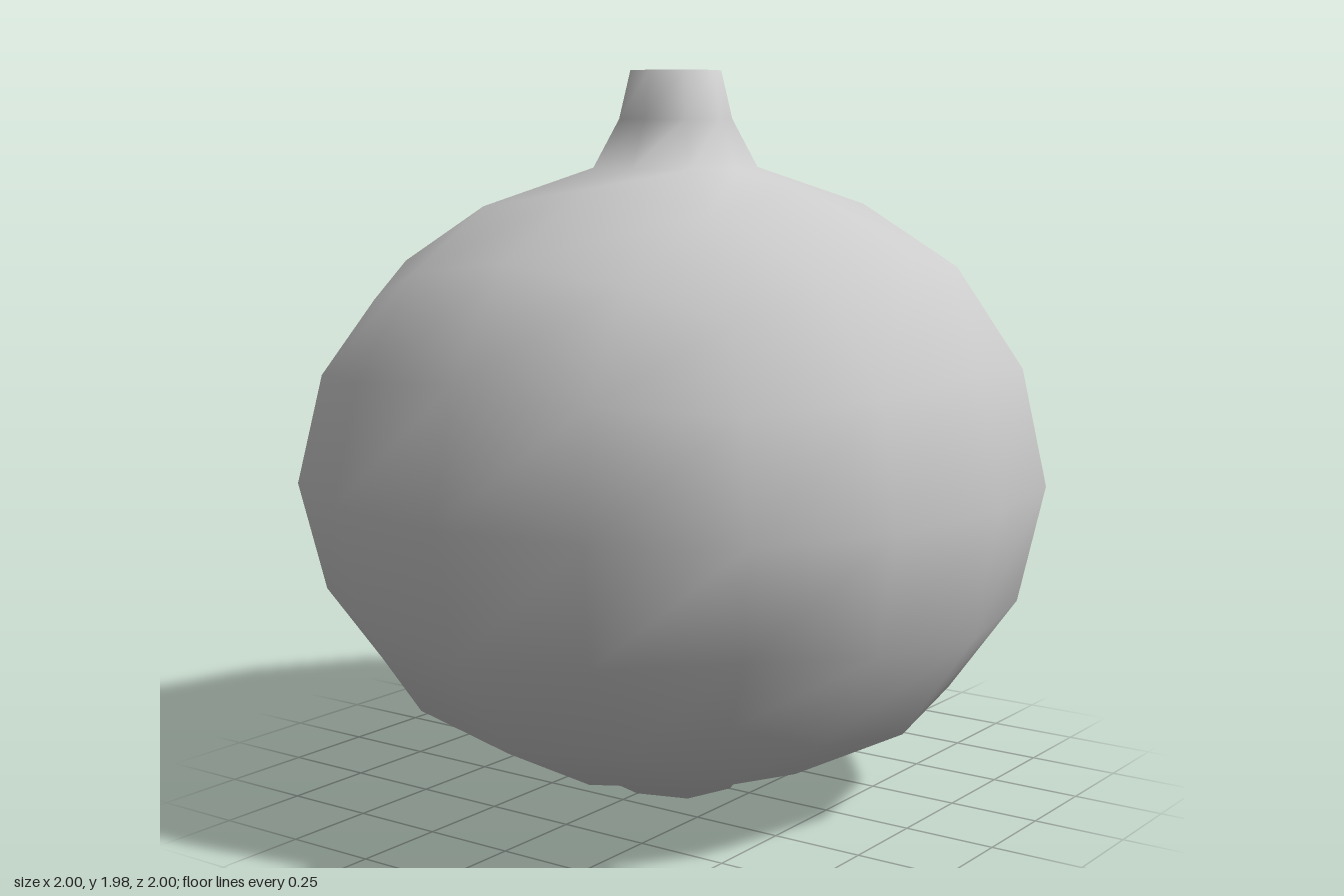
import * as THREE from 'three';
import { mergeVertices } from 'three/addons/utils/BufferGeometryUtils.js';

const CENTRE_Y = 0.877, SQUASH = 0.852;

// Rounded-cube grid: [along normal, along u, along v] for grid steps |i| >= |j|
const GRID = {
  '00': [1, 0, 0], '10': [0.933, 0.4, 0], '20': [0.732, 0.732, 0],
  '11': [0.87, 0.371, 0.371], '21': [0.682, 0.682, 0.344], '22': [0.58, 0.58, 0.58],
};

// Ring profiles: [radius on the axes, corner offset, height]
const NECK = [[0.2, 0.16, 1.72], [0.145, 0.11, 1.85], [0.12, 0.088, 1.98]];
const FOOT = [[0.215, 0.165, 0.05], [0.185, 0.14, 0]];

const AROUND = [[1, 0], [1, 1], [0, 1], [-1, 1], [-1, 0], [-1, -1], [0, -1], [1, -1]];

// Point on one side of the squashed round body
function bodyPoint(n, u, v, sign, i, j) {
  const a = Math.abs(i), b = Math.abs(j);
  const [pn, big, small] = GRID[`${Math.max(a, b)}${Math.min(a, b)}`];
  const p = [0, 0, 0];
  p[n] = sign * pn;
  p[u] = Math.sign(i) * (a >= b ? big : small);
  p[v] = Math.sign(j) * (a >= b ? small : big);
  p[1] = CENTRE_Y + p[1] * SQUASH;
  return p;
}

function createVaseGeometry() {
  const positions = [];
  const tri = (a, b, c) => positions.push(...a, ...b, ...c);
  const quad = (a, b, c, d) => { tri(a, b, c); tri(a, c, d); };

  for (let n = 0; n < 3; n++) {
    for (const sign of [1, -1]) {
      let u = (n + 1) % 3, v = (n + 2) % 3;
      if (sign < 0) [u, v] = [v, u];
      const at = (i, j) => bodyPoint(n, u, v, sign, i, j);

      // Body patches, leaving the middle of the top and bottom open
      for (let i = -2; i < 2; i++) {
        for (let j = -2; j < 2; j++) {
          const middle = i >= -1 && i < 1 && j >= -1 && j < 1;
          if (n === 1 && middle) continue;
          quad(at(i, j), at(i + 1, j), at(i + 1, j + 1), at(i, j + 1));
        }
      }
      if (n !== 1) continue;

      // Neck or foot: eight-sided rings drawn out of the opening, then a cap
      const profile = sign > 0 ? NECK : FOOT;
      const rings = [AROUND.map(([i, j]) => at(i, j))];
      for (const [axis, corner, y] of profile) {
        rings.push(AROUND.map(([i, j]) => {
          const r = i && j ? corner : axis;
          const p = [0, y, 0];
          p[u] = i * r;
          p[v] = j * r;
          return p;
        }));
      }
      const last = rings[rings.length - 1];
      const capCentre = [0, profile[profile.length - 1][2], 0];
      for (let m = 0; m < 8; m++) {
        const k = (m + 1) % 8;
        for (let r = 0; r + 1 < rings.length; r++) {
          quad(rings[r][m], rings[r][k], rings[r + 1][k], rings[r + 1][m]);
        }
        tri(last[m], last[k], capCentre);
      }
    }
  }

  // Weld the patches so the whole skin shades smoothly
  const soup = new THREE.BufferGeometry();
  soup.setAttribute('position', new THREE.Float32BufferAttribute(positions, 3));
  const geometry = mergeVertices(soup, 1e-4);
  geometry.computeVertexNormals();
  return geometry;
}

export function createModel() {
  const group = new THREE.Group();
  group.name = 'roundVase';
  const body = new THREE.Mesh(
    createVaseGeometry(),
    new THREE.MeshStandardMaterial({ color: 0xcccccc }),
  );
  body.name = 'bodyWithNeckAndFoot';
  group.add(body);
  return group;
}
